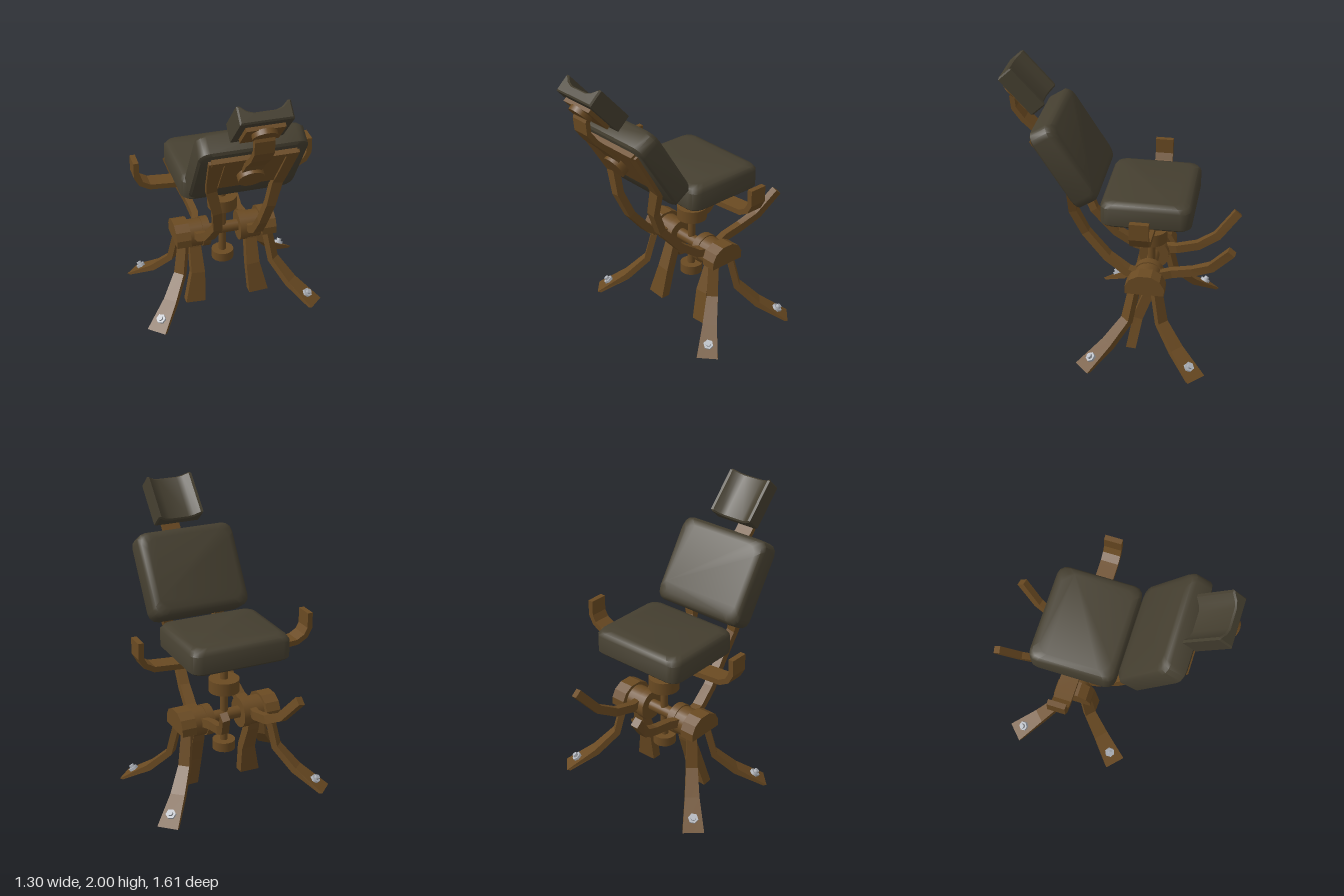
import * as THREE from 'three';
import { toCreasedNormals } from 'three/addons/utils/BufferGeometryUtils.js';

const brown = new THREE.MeshStandardMaterial({ color: 0x6a4a22 });
brown.name = 'brown metal';
const padding = new THREE.MeshStandardMaterial({ color: 0x453f30 });
padding.name = 'dark padding';
const steel = new THREE.MeshStandardMaterial({ color: 0xb0b4bb });
steel.name = 'bolt steel';

const V = (x, y, z) => new THREE.Vector3(x, y, z);
const HUB_Y = 0.53, HUB_Z = -0.2;

// Skin a list of equal rings of points and close both ends.
function loft(rings, crease) {
  const n = rings[0].length, pos = [], idx = [];
  rings.forEach(r => r.forEach(p => pos.push(p.x, p.y, p.z)));
  for (let i = 0; i < rings.length - 1; i++) {
    for (let j = 0; j < n; j++) {
      const a = i * n + j, b = i * n + (j + 1) % n;
      idx.push(a, b, b + n, a, b + n, a + n);
    }
  }
  const e = (rings.length - 1) * n;
  for (let j = 1; j < n - 1; j++) idx.push(0, j + 1, j, e, e + j, e + j + 1);
  const g = new THREE.BufferGeometry();
  g.setAttribute('position', new THREE.Float32BufferAttribute(pos, 3));
  g.setIndex(idx);
  return toCreasedNormals(g, crease);
}

// Flat bar of rectangular section along a path; nothing goes below the floor.
function bar(points, across, widths, thick) {
  const rings = points.map((p, i) => {
    const t = points[Math.min(i + 1, points.length - 1)].clone()
      .sub(points[Math.max(i - 1, 0)]).normalize();
    const n = t.clone().cross(across).normalize();
    const w = n.clone().cross(t).normalize();
    const a = (Array.isArray(widths) ? widths[i] : widths) / 2;
    return [[1, 1], [-1, 1], [-1, -1], [1, -1]].map(([u, v]) => {
      const q = p.clone().addScaledVector(w, u * a).addScaledVector(n, v * thick / 2);
      q.y = Math.max(q.y, 0);
      return q;
    });
  });
  return loft(rings, 0.1);
}

// Padded cushion with rounded corners, flat below and softened on top.
function cushion(width, depth, height) {
  const ring = (y, inset) => {
    const pts = [], r = 0.07, hx = width / 2 - inset, hz = depth / 2 - inset;
    [[1, 1], [-1, 1], [-1, -1], [1, -1]].forEach(([sx, sz], k) => {
      for (let i = 0; i <= 3; i++) {
        const a = (k + i / 3) * Math.PI / 2;
        pts.push(V(sx * (hx - r) + r * Math.cos(a), y, -(sz * (hz - r) + r * Math.sin(a))));
      }
    });
    return pts;
  };
  return loft([ring(0, 0.015), ring(0.015, 0), ring(height - 0.04, 0),
    ring(height - 0.012, 0.018), ring(height, 0.055)], 0.75);
}

function add(parent, name, geometry, material, x = 0, y = 0, z = 0) {
  const m = new THREE.Mesh(geometry, material);
  m.name = name;
  m.position.set(x, y, z);
  parent.add(m);
  return m;
}

const box = (w, h, d) => new THREE.BoxGeometry(w, h, d);
const disc = (r, h, sides = 20) => new THREE.CylinderGeometry(r, r, h, sides);
const axleDisc = (r, h) => disc(r, h).rotateZ(Math.PI / 2);
const backDisc = (r, h) => disc(r, h).rotateX(Math.PI / 2);

function makeBolt(parent, s, f) {
  const bolt = new THREE.Group();
  bolt.name = 'footBolt';
  add(bolt, 'washer', disc(0.04, 0.01, 16), steel, 0, 0.005, 0);
  add(bolt, 'nut', disc(0.035, 0.028, 6), steel, 0, 0.022, 0);
  add(bolt, 'stud', disc(0.018, 0.02, 10), steel, 0, 0.045, 0);
  bolt.position.set(s * 0.538, 0.045, HUB_Z + f * 0.328);
  bolt.quaternion.setFromUnitVectors(V(0, 1, 0), V(s * 0.42, 0.8, f * 0.44).normalize());
  parent.add(bolt);
}

// Everything that repeats on the left (s = 1) and right (s = -1).
function makeSide(parent, s) {
  const X = V(1, 0, 0), Z = V(0, 0, 1);
  const path = list => list.map(([x, y, z]) => V(s * x, y, z));

  add(parent, 'hubCollar', axleDisc(0.108, 0.055), brown, s * 0.138, HUB_Y - 0.005, HUB_Z);
  add(parent, 'armHub', axleDisc(0.1, 0.1), brown, s * 0.215, HUB_Y - 0.005, HUB_Z);

  // Arched cap over the outer legs
  const arch = new THREE.Shape();
  [[-0.135, 0], [0.135, 0], [0.135, 0.055], [0.105, 0.108], [0.045, 0.142],
    [-0.045, 0.142], [-0.105, 0.108], [-0.135, 0.055]]
    .forEach(([a, b], i) => (i ? arch.lineTo(a, b) : arch.moveTo(a, b)));
  const cap = new THREE.ExtrudeGeometry(arch, { depth: 0.105, bevelEnabled: false })
    .translate(0, 0, -0.0525).rotateY(Math.PI / 2);
  add(parent, 'legCap', cap, brown, s * 0.3165, 0.497, HUB_Z);

  // Outer legs, front and rear
  for (const f of [1, -1]) {
    const leg = [[0.31, 0.51, 0.075], [0.35, 0.27, 0.12], [0.45, 0.125, 0.235], [0.59, -0.015, 0.387]]
      .map(([x, y, z]) => V(s * x, y, HUB_Z + f * z));
    add(parent, 'outerLeg', bar(leg, V(s, 0, -f).normalize(), [0.07, 0.08, 0.1, 0.145], 0.045), brown);
    makeBolt(parent, s, f);
  }

  // Inner leg
  add(parent, 'innerLeg', bar(path([[0.21, 0.5, -0.225], [0.21, 0.4, -0.205],
    [0.208, 0.22, -0.14], [0.24, -0.01, -0.1]]), X, [0.085, 0.085, 0.1, 0.145], 0.07), brown);

  // Backrest support arm
  add(parent, 'backArm', bar(path([[0.2, 0.54, -0.18], [0.19, 0.57, -0.06], [0.175, 0.665, 0.08],
    [0.16, 0.84, 0.235], [0.185, 1.02, 0.315], [0.225, 1.2, 0.322], [0.237, 1.29, 0.375],
    [0.258, 1.55, 0.535]]), X, [0.08, 0.075, 0.07, 0.06, 0.065, 0.075, 0.075, 0.08], 0.055), brown);

  // Footrest arm
  add(parent, 'footArm', bar(path([[0.2, 0.54, -0.22], [0.165, 0.565, -0.36], [0.175, 0.6, -0.51],
    [0.212, 0.67, -0.64], [0.27, 0.835, -0.775]]), X, 0.05, 0.06), brown);

  // Armrest strap
  add(parent, 'armrest', bar(path([[0.02, 0.98, HUB_Z], [0.33, 0.985, HUB_Z], [0.53, 1.0, HUB_Z],
    [0.592, 1.035, HUB_Z], [0.622, 1.09, HUB_Z], [0.622, 1.2, HUB_Z]]), Z, 0.126, 0.038), brown);
}

export function createModel() {
  const model = new THREE.Group();
  model.name = 'recliningChair';

  // Seat
  add(model, 'seatCushion', cushion(0.72, 0.61, 0.175), padding, 0, 1.0, -0.197);
  add(model, 'seatPlate', box(0.52, 0.035, 0.42), brown, 0, 0.9835, HUB_Z);

  // Height screw and axle
  add(model, 'screwShaft', disc(0.027, 0.66), brown, 0, 0.64, HUB_Z);
  add(model, 'upperWheel', disc(0.107, 0.09), brown, 0, 0.763, HUB_Z);
  add(model, 'lowerWheel', disc(0.08, 0.066), brown, 0, 0.311, HUB_Z);
  add(model, 'axle', axleDisc(0.042, 0.5), brown, 0, HUB_Y, HUB_Z);
  makeSide(model, 1);
  makeSide(model, -1);

  // Backrest, tilted away from the seat
  const back = new THREE.Group();
  back.name = 'backrest';
  back.position.set(0, 1.4, 0.34);
  back.rotation.x = 0.567;
  const pad = add(back, 'backCushion', cushion(0.72, 0.61, 0.175), padding, 0, 0, 0.0875);
  pad.rotation.x = -Math.PI / 2;
  add(back, 'backPlate', box(0.44, 0.39, 0.02), brown, 0, 0.05, 0.092);
  add(back, 'backRail', box(0.56, 0.035, 0.045), brown, 0, 0.232, 0.1);
  add(back, 'innerPanel', box(0.38, 0.33, 0.014), brown, 0, 0.04, 0.106);
  add(back, 'stalkMount', backDisc(0.088, 0.06), brown, 0, 0.035, 0.13);
  model.add(back);

  // Headrest with a hollowed front
  const head = new THREE.Group();
  head.name = 'headrest';
  head.position.set(0, 1.845, 0.645);
  head.rotation.x = 0.742;
  const section = new THREE.Shape();
  [[-0.17, -0.06], [0.17, -0.06], [0.17, 0.06], [0.15, 0.06], [0.11, 0.025], [0.07, 0.01],
    [-0.07, 0.01], [-0.11, 0.025], [-0.15, 0.06], [-0.17, 0.06]]
    .forEach(([a, b], i) => (i ? section.lineTo(a, b) : section.moveTo(a, b)));
  const headPad = new THREE.ExtrudeGeometry(section, { depth: 0.31, bevelThickness: 0.01,
    bevelSize: 0.01, bevelOffset: -0.01, bevelSegments: 1 }).translate(0, 0, -0.155).rotateX(-Math.PI / 2);
  add(head, 'headCushion', toCreasedNormals(headPad, 0.7), padding);
  add(head, 'headPlate', box(0.25, 0.21, 0.03), brown, 0, -0.005, 0.072);
  add(head, 'headMount', backDisc(0.08, 0.035), brown, 0, 0.035, 0.1);
  model.add(head);

  // Curved stalk from backrest to headrest
  const stalk = [[1.375, 0.45], [1.5, 0.56], [1.6, 0.67], [1.68, 0.73], [1.76, 0.738], [1.83, 0.71]]
    .map(([y, z]) => V(0, y, z));
  add(model, 'headStalk', bar(stalk, V(1, 0, 0), 0.13, 0.035), brown);

  return model;
}
